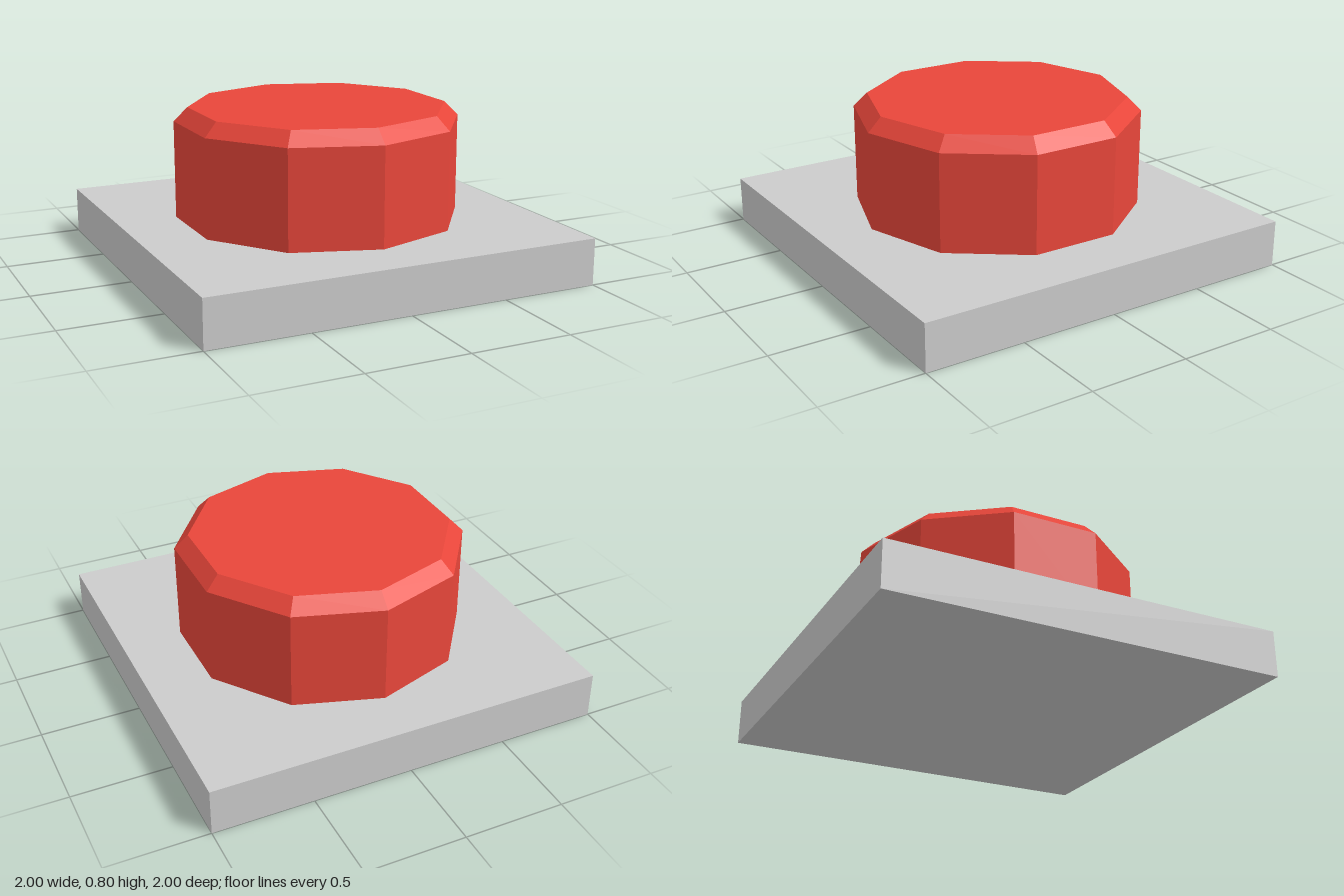
import * as THREE from 'three';

export function createModel() {
  const model = new THREE.Group();
  model.name = 'pushButton';

  const plateHeight = 0.235;
  const add = (name, geometry, color) => {
    const material = new THREE.MeshStandardMaterial({ color, flatShading: true });
    const mesh = new THREE.Mesh(geometry, material);
    mesh.name = name;
    model.add(mesh);
    return mesh;
  };

  // Square base plate
  add('basePlate', new THREE.BoxGeometry(2, plateHeight, 2), 0xcccccc).position.y = plateHeight / 2;

  // Ten-sided button with a bevelled top edge, one corner facing the front
  const profile = [
    [0, plateHeight],
    [0.725, plateHeight],
    [0.725, 0.73],
    [0.655, 0.8],
    [0, 0.8],
  ].map(([r, y]) => new THREE.Vector2(r, y));
  add('button', new THREE.LatheGeometry(profile, 10), 0xe8463a);

  return model;
}
